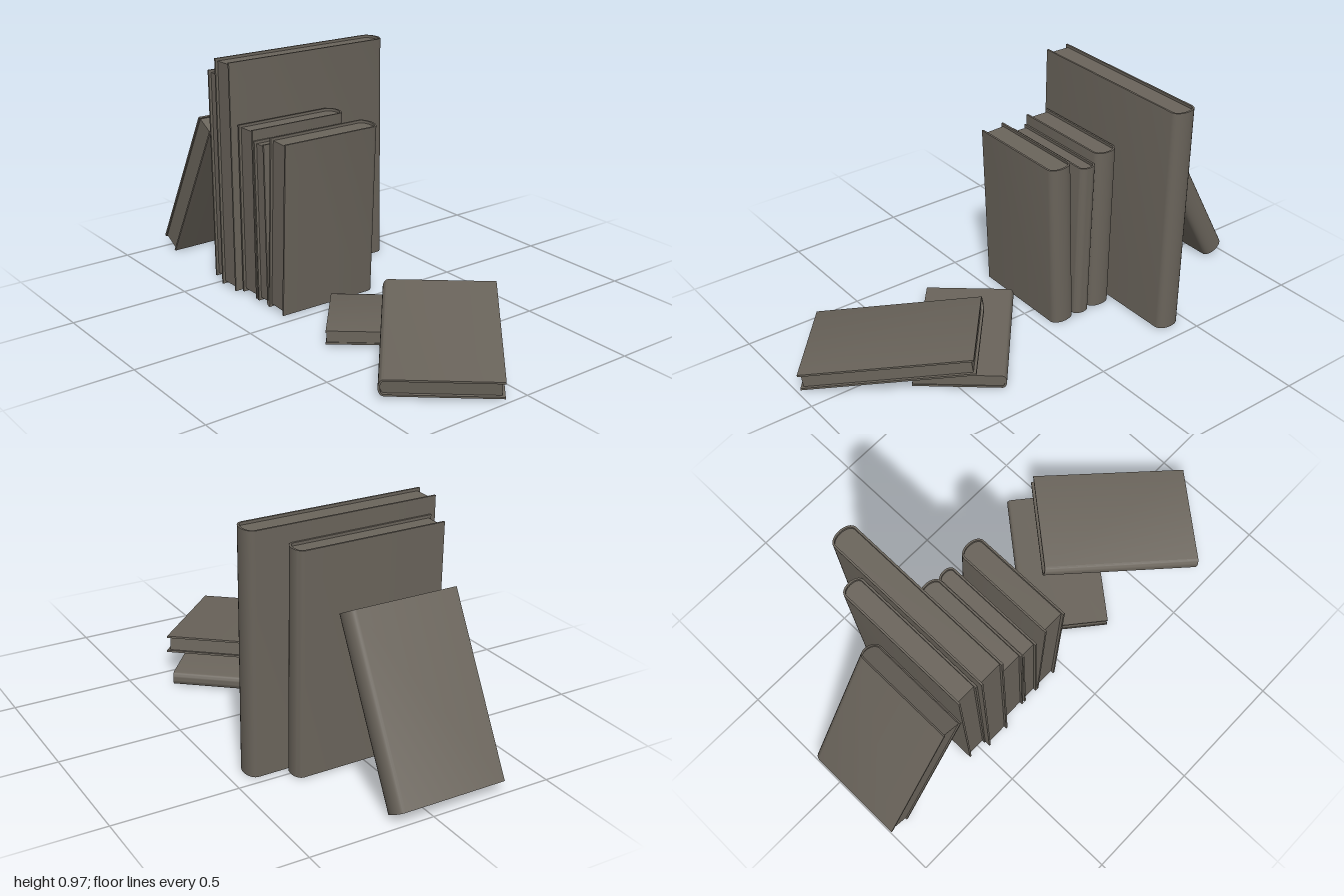
import * as THREE from 'three';
import { toCreasedNormals } from 'three/addons/utils/BufferGeometryUtils.js';

const BOARD = 0.008; // cover thickness

// Traces the rounded spine from one side of the book to the other
function spineCurve(shape, from, halfWidth, shoulder, bulge) {
  const k = shoulder + bulge / 0.75;
  const s = Math.sign(from);
  shape.lineTo(s * halfWidth, shoulder);
  shape.bezierCurveTo(s * halfWidth * 0.9, k, -s * halfWidth * 0.9, k, -s * halfWidth, shoulder);
}

// Extrudes a plan section upwards, centred on its height
function extrudeUp(shape, height) {
  const geo = new THREE.ExtrudeGeometry(shape, { depth: height, bevelEnabled: false, curveSegments: 12 });
  geo.translate(0, 0, -height / 2);
  geo.rotateX(-Math.PI / 2);
  return toCreasedNormals(geo, 0.6);
}

// A hardback: x is thickness, y is height, +z is the fore edge, -z the spine
function makeBook({ name, size: [t, h, d], at, up, fore, inset = 0.011 }, material) {
  const book = new THREE.Group();
  book.name = name;
  const bulge = Math.min(0.3 * t, 0.033);
  const w = t / 2, wi = w - BOARD, shoulder = d / 2 - bulge;

  // Boards and spine as one wrapped section
  const cover = new THREE.Shape();
  cover.moveTo(w, -d / 2);
  spineCurve(cover, 1, w, shoulder, bulge);
  cover.lineTo(-w, -d / 2);
  cover.lineTo(-wi, -d / 2);
  spineCurve(cover, -1, wi, shoulder, bulge - BOARD);
  cover.lineTo(wi, -d / 2);
  cover.closePath();
  const coverMesh = new THREE.Mesh(extrudeUp(cover, h), material);
  coverMesh.name = 'cover';

  // Page block set back from the cover edges
  const pages = new THREE.Shape();
  pages.moveTo(wi, -d / 2 + inset);
  spineCurve(pages, 1, wi, shoulder, bulge - BOARD);
  pages.lineTo(-wi, -d / 2 + inset);
  pages.closePath();
  const pageMesh = new THREE.Mesh(extrudeUp(pages, h - inset * 2), material);
  pageMesh.name = 'pages';
  book.add(coverMesh, pageMesh);

  // Orient by the height and fore-edge directions
  const y = new THREE.Vector3(...up).normalize();
  const x = new THREE.Vector3().crossVectors(y, new THREE.Vector3(...fore)).normalize();
  const z = new THREE.Vector3().crossVectors(x, y);
  book.quaternion.setFromRotationMatrix(new THREE.Matrix4().makeBasis(x, y, z));
  book.position.set(...at);
  return book;
}

export function createModel() {
  const model = new THREE.Group();
  model.name = 'bookStack';
  const material = new THREE.MeshStandardMaterial({ color: 0x6a645b });
  material.name = 'warmGrey';

  const front = [0, 0, 1];
  const books = [
    // Row of books, left to right
    { name: 'leaningBook', size: [0.1, 0.715, 0.455], at: [-0.785, 0.345, 0.08], up: [0.34, 0.63, 0], fore: front, inset: 0.006 },
    { name: 'tallBook', size: [0.092, 0.89, 0.605], at: [-0.518, 0.455, 0.008], up: [-0.015, 0.89, -0.006], fore: front },
    { name: 'tallestBook', size: [0.108, 0.96, 0.773], at: [-0.419, 0.488, -0.053], up: [-0.012, 0.96, -0.007], fore: front },
    { name: 'mediumBook', size: [0.106, 0.71, 0.456], at: [-0.297, 0.365, 0.082], up: [-0.01, 0.71, -0.005], fore: front },
    { name: 'thinBook', size: [0.075, 0.67, 0.456], at: [-0.201, 0.345, 0.082], up: [-0.014, 0.67, -0.005], fore: front },
    { name: 'endBook', size: [0.106, 0.713, 0.456], at: [-0.088, 0.363, 0.082], up: [0.028, 0.71, -0.005], fore: front },
    // Two books lying on the ground, one propped on the other
    { name: 'flatBook', size: [0.055, 0.597, 0.362], at: [0.31, 0.036, -0.015], up: [0.38, 0, -0.46], fore: [0.28, 0, 0.23], inset: 0.003 },
    { name: 'proppedBook', size: [0.07, 0.672, 0.442], at: [0.598, 0.095, 0.055], up: [-0.515, 0.09, -0.43], fore: [0.28, 0, -0.34] },
  ];
  books.forEach((b) => model.add(makeBook(b, material)));
  return model;
}
